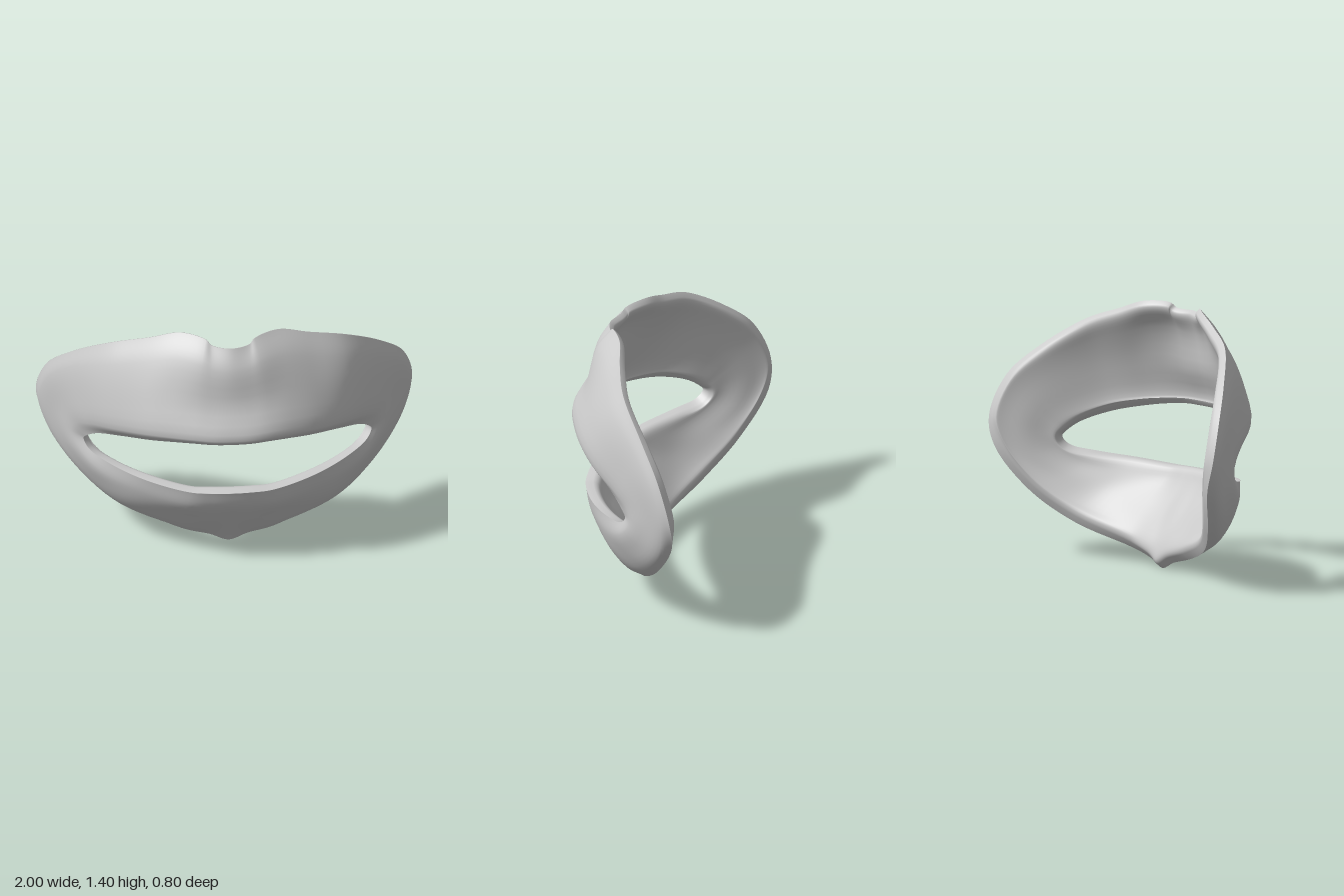
import * as THREE from 'three';

const AROUND = 168, ACROSS = 24;

// Guide lines of the right half, from top centre round the corner to bottom centre.
const innerRim = [
  [0, 0.83, 0.36], [0.1, 0.83, 0.355], [0.2, 0.83, 0.335], [0.3, 0.82, 0.3], [0.42, 0.8, 0.245],
  [0.58, 0.76, 0.135], [0.7, 0.7, 0.015], [0.75, 0.65, -0.04], [0.765, 0.62, -0.06], [0.74, 0.575, -0.03],
  [0.64, 0.545, 0.07], [0.45, 0.52, 0.21], [0.22, 0.5, 0.31], [0.1, 0.5, 0.33], [0, 0.5, 0.335],
];
const lipRidge = [
  [0, 0.89, 0.417], [0.1, 0.89, 0.412], [0.2, 0.89, 0.39], [0.32, 0.88, 0.345], [0.46, 0.86, 0.275],
  [0.62, 0.82, 0.155], [0.75, 0.755, 0], [0.81, 0.7, -0.08], [0.83, 0.635, -0.105], [0.79, 0.54, -0.06],
  [0.68, 0.46, 0.04], [0.49, 0.42, 0.17], [0.24, 0.39, 0.28], [0.1, 0.39, 0.3], [0, 0.39, 0.303],
];
const middle = [
  [0, 1.06, 0.338], [0.1, 1.06, 0.333], [0.19, 1.07, 0.318], [0.31, 1.07, 0.283], [0.46, 1.04, 0.223],
  [0.64, 0.99, 0.115], [0.8, 0.89, -0.065], [0.88, 0.79, -0.165], [0.91, 0.66, -0.215], [0.86, 0.51, -0.175],
  [0.73, 0.385, -0.055], [0.535, 0.305, 0.09], [0.26, 0.26, 0.18], [0.1, 0.24, 0.2], [0, 0.24, 0.2],
];
const shoulder = [
  [0, 1.25, 0.3], [0.1, 1.26, 0.285], [0.16, 1.28, 0.265], [0.29, 1.28, 0.2], [0.44, 1.23, 0.14],
  [0.64, 1.16, 0.05], [0.83, 1.03, -0.13], [0.945, 0.89, -0.25], [0.985, 0.71, -0.315], [0.935, 0.53, -0.295],
  [0.785, 0.345, -0.175], [0.57, 0.215, -0.02], [0.27, 0.14, 0.085], [0.1, 0.115, 0.1], [0, 0.1, 0.1],
];
const outerRim = [
  [0, 1.365, 0.235], [0.1, 1.37, 0.205], [0.13, 1.395, 0.185], [0.26, 1.395, 0.11], [0.42, 1.34, 0.065],
  [0.62, 1.265, -0.01], [0.82, 1.11, -0.165], [0.95, 0.95, -0.29], [1, 0.73, -0.37], [0.95, 0.57, -0.37],
  [0.8, 0.345, -0.255], [0.58, 0.185, -0.115], [0.25, 0.078, 0.025], [0.1, 0.04, 0.035], [0, 0, 0.035],
];

// Mirrors a half guide line and closes it into a smooth ring
function ring(half) {
  const right = half.map(p => new THREE.Vector3(...p));
  const left = half.slice(1, -1).reverse().map(([x, y, z]) => new THREE.Vector3(-x, y, z));
  return new THREE.CatmullRomCurve3([...right, ...left], true);
}

function shellGeometry() {
  const guides = [innerRim, lipRidge, middle, shoulder, outerRim].map(ring);

  // Front surface as a grid, packed closer towards both rims
  const grid = [];
  for (let i = 0; i < AROUND; i++) {
    const section = new THREE.CatmullRomCurve3(guides.map(g => g.getPoint(i / AROUND)));
    const row = [];
    for (let j = 0; j <= ACROSS; j++) {
      row.push(section.getPoint((1 - Math.cos(Math.PI * j / ACROSS)) / 2));
    }
    grid.push(row);
  }

  // Back surface lies behind the front one along a smoothed normal:
  // thin at the top, thick at corners, chin and upper lip, blunt at both rims
  const backPoint = (i, j) => {
    const along = grid[(i + 2) % AROUND][j].clone().sub(grid[(i + AROUND - 2) % AROUND][j]);
    const across = grid[i][Math.min(j + 5, ACROSS)].clone().sub(grid[i][Math.max(j - 5, 0)]);
    const upper = Math.max(0, Math.cos(2 * Math.PI * i / AROUND));
    const lip = Math.exp(-(((j / ACROSS - 0.33) / 0.15) ** 2));
    const thickness = 0.055 + 0.04 * Math.sin(Math.PI * i / AROUND) + 0.03 * upper * lip;
    const depth = thickness * Math.sin(Math.PI * j / ACROSS) ** 0.4;
    return grid[i][j].clone().addScaledVector(along.cross(across).normalize(), -depth);
  };

  // Closed cross-sections joined around the ring
  const loop = 2 * ACROSS, positions = [], index = [];
  for (let i = 0; i < AROUND; i++) {
    for (let k = 0; k < loop; k++) {
      const p = k <= ACROSS ? grid[i][k] : backPoint(i, loop - k);
      positions.push(p.x, p.y, p.z);
      const next = (i + 1) % AROUND, up = (k + 1) % loop;
      const a = i * loop + k, b = next * loop + k, c = next * loop + up, d = i * loop + up;
      index.push(a, b, c, a, c, d);
    }
  }
  const geometry = new THREE.BufferGeometry();
  geometry.setAttribute('position', new THREE.Float32BufferAttribute(positions, 3));
  geometry.setIndex(index);
  geometry.computeVertexNormals();
  return geometry;
}

export function createModel() {
  const group = new THREE.Group();
  group.name = 'mouthShell';
  const lips = new THREE.Mesh(shellGeometry(), new THREE.MeshStandardMaterial({ color: 0xcccccc }));
  lips.name = 'lips';
  group.add(lips);
  return group;
}
